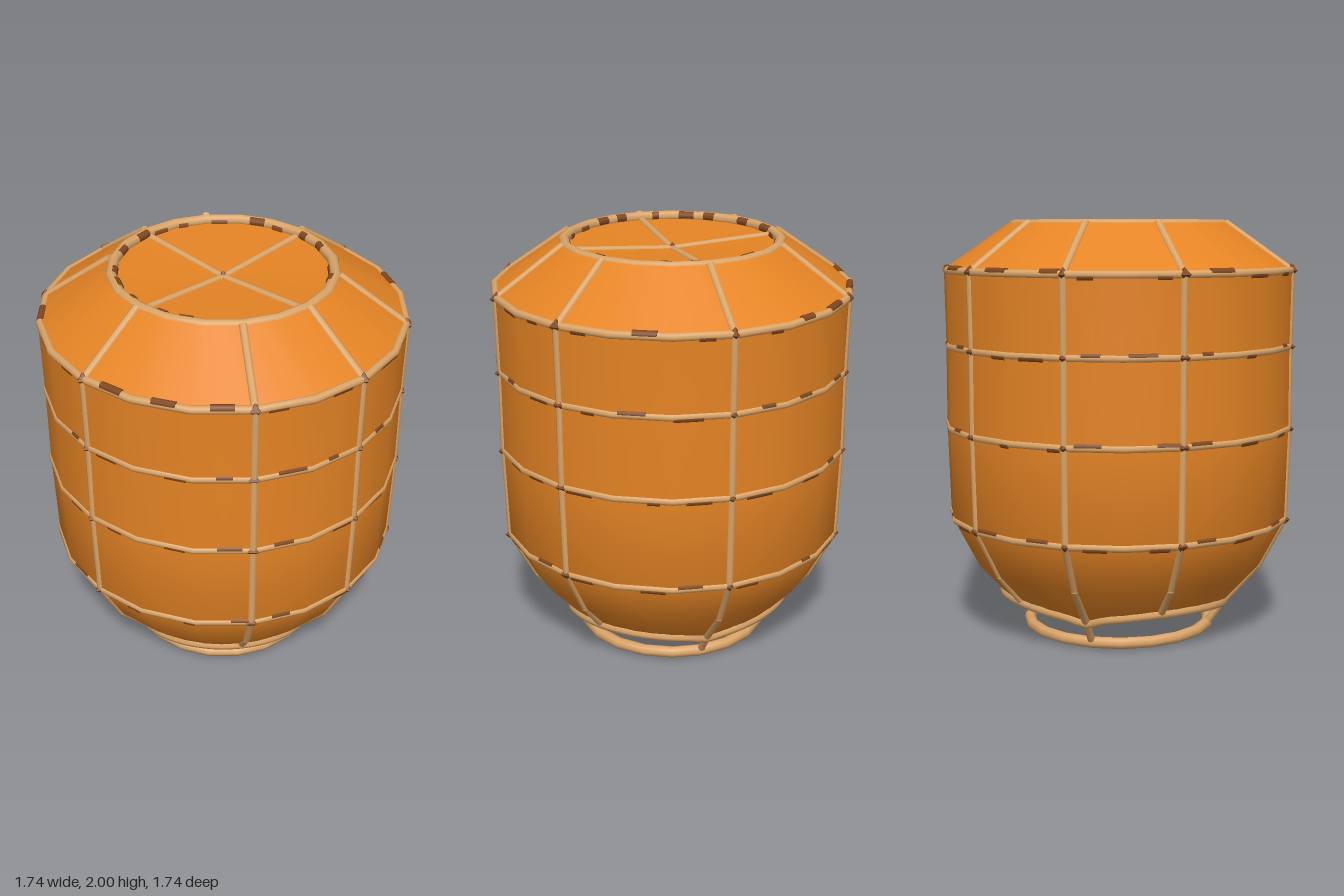
import * as THREE from 'three';
import { toCreasedNormals } from 'three/addons/utils/BufferGeometryUtils.js';

const SIDES = 20;
const D = Math.PI / 180;
// meridian ribs: the four axes plus one pair on each side
const RIBS = [0, 36, 90, 144, 180, 216, 270, 324].map(a => a * D);
// body profile as [radius, height], top to bottom
const PROFILE = [[0.53, 1.985], [0.845, 1.765], [0.84, 1.41], [0.842, 1.02], [0.83, 0.58], [0.71, 0.35]];
// bamboo is half sunk into the paper
const SINK = 0.01;

const polar = (r, y, a) => new THREE.Vector3(r * Math.cos(a), y, r * Math.sin(a));

// lower paper edge, raised into four arches
function hem(a) {
  const y = 0.145 + 0.06 * Math.pow(Math.abs(Math.sin(2 * a)), 0.65);
  return polar(0.525 + (y - 0.145) * 0.9, y, a);
}

let seed = 7;
function random() {
  seed = (seed * 16807) % 2147483647;
  return seed / 2147483647;
}

export function createModel() {
  seed = 7;
  const paper = new THREE.MeshStandardMaterial({ color: 0xe58424, side: THREE.DoubleSide });
  paper.name = 'orange paper';
  const wood = new THREE.MeshStandardMaterial({ color: 0xdba568 });
  wood.name = 'pale bamboo';
  const brown = new THREE.MeshStandardMaterial({ color: 0x82491f });
  brown.name = 'dark brown';

  const lantern = new THREE.Group();
  lantern.name = 'paperLantern';

  function add(name, geometry, material, parent = lantern) {
    const mesh = new THREE.Mesh(geometry, material);
    mesh.name = name;
    parent.add(mesh);
    return mesh;
  }
  function group(name) {
    const g = new THREE.Group();
    g.name = name;
    lantern.add(g);
    return g;
  }
  function rod(name, a, b, radius, parent, material = wood) {
    const m = add(name, new THREE.CylinderGeometry(radius, radius, a.distanceTo(b), 8), material, parent);
    m.position.copy(a).lerp(b, 0.5);
    m.quaternion.setFromUnitVectors(new THREE.Vector3(0, 1, 0), b.clone().sub(a).normalize());
  }
  function hoop(name, r, y, thickness, parent) {
    const m = add(name, new THREE.TorusGeometry(r, thickness, 8, SIDES), wood, parent);
    m.rotation.x = Math.PI / 2;
    m.position.y = y;
  }
  // worn brown patches along a hoop's edges
  function wear(r, y, radius, offset, parent) {
    for (let i = 0; i < SIDES; i++) {
      const side = random() < 0.5 ? -1 : 1;
      const start = random() * 0.5, end = start + 0.2 + random() * 0.3;
      const a = polar(r, y + side * offset, i * 18 * D);
      const b = polar(r, y + side * offset, (i + 1) * 18 * D);
      rod('wornPatch', a.clone().lerp(b, start), a.clone().lerp(b, end), radius, parent, brown);
    }
  }

  // paper skin
  const pos = [], index = [], rows = PROFILE.length + 1, n = SIDES * 2;
  for (let j = 0; j < rows; j++) {
    for (let i = 0; i < n; i++) {
      const a = i * Math.PI / SIDES;
      // odd columns lie on the middle of the polygon's sides
      const flat = i % 2 ? Math.cos(Math.PI / SIDES) : 1;
      const p = j < PROFILE.length ? polar(PROFILE[j][0] * flat, PROFILE[j][1], a) : hem(a);
      pos.push(p.x, p.y, p.z);
    }
  }
  for (let j = 0; j < rows - 1; j++) {
    for (let i = 0; i < n; i++) {
      const a = j * n + i, b = j * n + (i + 1) % n, c = a + n, d = b + n;
      index.push(a, b, c, b, d, c);
    }
  }
  const skin = new THREE.BufferGeometry();
  skin.setAttribute('position', new THREE.Float32BufferAttribute(pos, 3));
  skin.setIndex(index);
  add('paperBody', toCreasedNormals(skin, 0.6), paper);

  // slightly sunken paper lid
  const lid = new THREE.LatheGeometry([new THREE.Vector2(0.52, 1.965), new THREE.Vector2(0, 1.935)], SIDES);
  add('paperLid', lid, paper);
  const cross = group('lidCross');
  for (const a of [0, 90, 180, 270]) {
    rod('lidRib', polar(0.5, 1.96, a * D), polar(0, 1.93, 0), 0.018, cross);
  }

  // horizontal hoops
  const hoops = group('hoops');
  const patches = group('wornPatches');
  hoop('topHoop', 0.505, 1.974, 0.026, hoops);
  wear(0.495, 1.974, 0.02, 0.006, patches);
  for (const [r, y] of PROFILE.slice(1, 5)) {
    hoop('bodyHoop', r - SINK, y, 0.019, hoops);
    wear(r - SINK, y, 0.018, 0.008, patches);
  }
  hoop('baseHoop', 0.447, 0.031, 0.028, hoops);

  // vertical ribs, with bindings where they cross the hoops
  const ribs = group('ribs');
  const bindings = group('bindings');
  function knot(p, size) {
    add('binding', new THREE.OctahedronGeometry(size), brown, bindings).position.copy(p);
  }
  for (const a of RIBS) {
    const pts = [...PROFILE.map(([r, y]) => polar(r - SINK, y, a)), hem(a)];
    for (let k = 0; k < pts.length - 1; k++) rod('rib', pts[k], pts[k + 1], 0.019, ribs);
    for (let k = 1; k < 5; k++) knot(pts[k], 0.033);
  }
  knot(polar(0, 1.93, 0), 0.032);

  // arched hem and struts down to the base hoop
  const edge = Array.from({ length: 40 }, (_, i) => hem(i * Math.PI / 20));
  const curve = new THREE.CatmullRomCurve3(edge, true);
  add('archedHem', new THREE.TubeGeometry(curve, 80, 0.024, 6, true), wood);
  const struts = group('struts');
  for (const a of [0, 90, 180, 270]) rod('strut', hem(a * D), polar(0.447, 0.031, a * D), 0.018, struts);

  // lamp bowl inside the opening
  const bowl = add('lampBowl', new THREE.SphereGeometry(0.16, 10, 6), brown);
  bowl.scale.y = 0.55;
  bowl.position.y = 0.125;

  return lantern;
}
